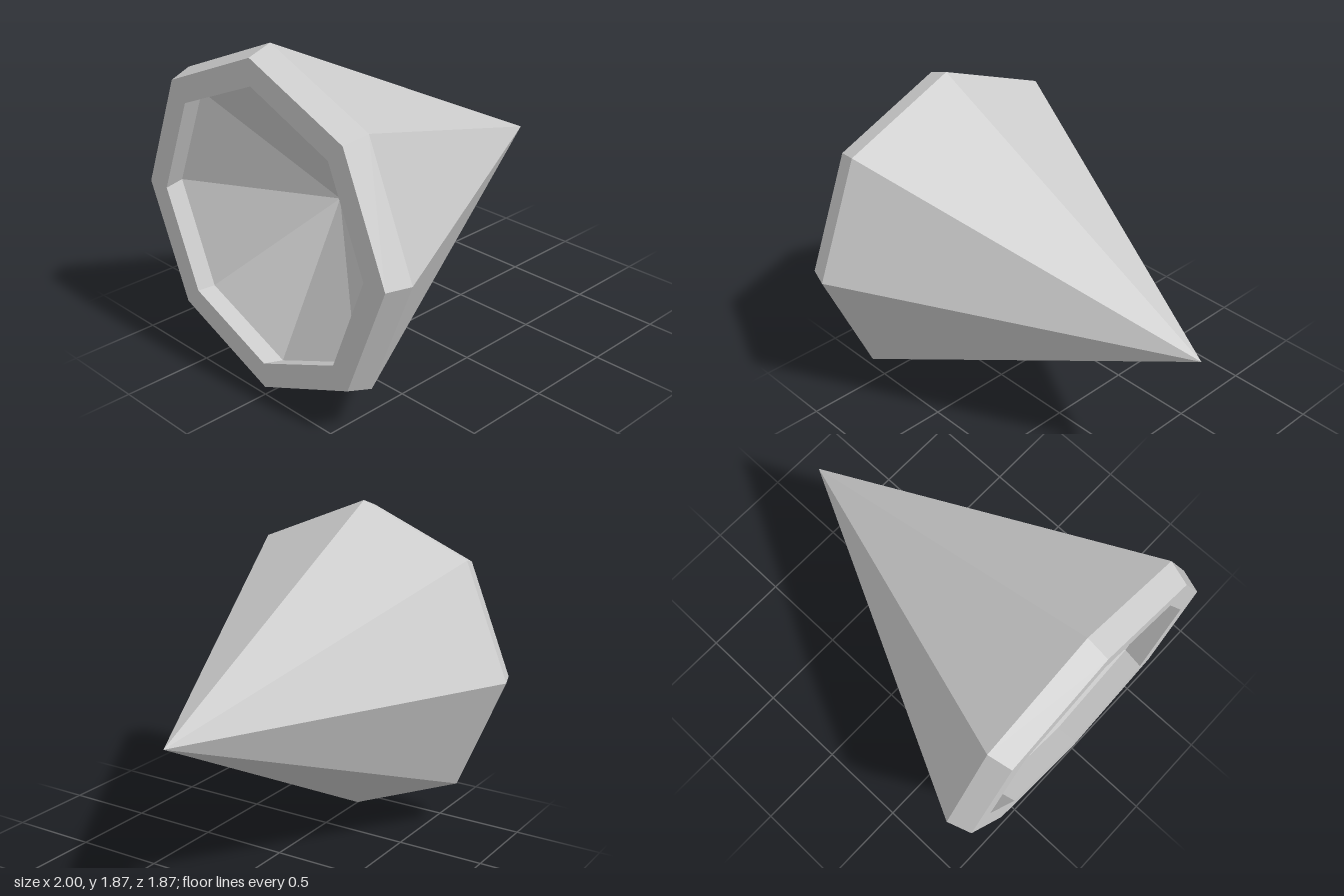
import * as THREE from 'three';

const SIDES = 8;
const RADIUS = 0.934;

export function createModel() {
  const group = new THREE.Group();
  group.name = 'hollowSpike';
  const material = new THREE.MeshStandardMaterial({ color: 0xcccccc, flatShading: true });

  // Eight-sided turned part along x; profile holds [radius, x] pairs
  const turned = (name, profile) => {
    const points = profile.map(([r, x]) => new THREE.Vector2(r, x));
    const geometry = new THREE.LatheGeometry(points, SIDES).rotateZ(-Math.PI / 2);
    const mesh = new THREE.Mesh(geometry, material);
    mesh.name = name;
    mesh.position.y = RADIUS;
    group.add(mesh);
  };

  // Long pointed cone
  turned('spike', [[RADIUS, -0.87], [0, 1]]);
  // Bevelled rim: undercut inner wall, flat back ring, outer band
  turned('rim', [[0.785, -0.875], [0.75, -1], [0.89, -1], [RADIUS, -0.87]]);
  // Shallow conical hollow in the back
  turned('hollow', [[0, -0.45], [0.785, -0.875]]);

  return group;
}
